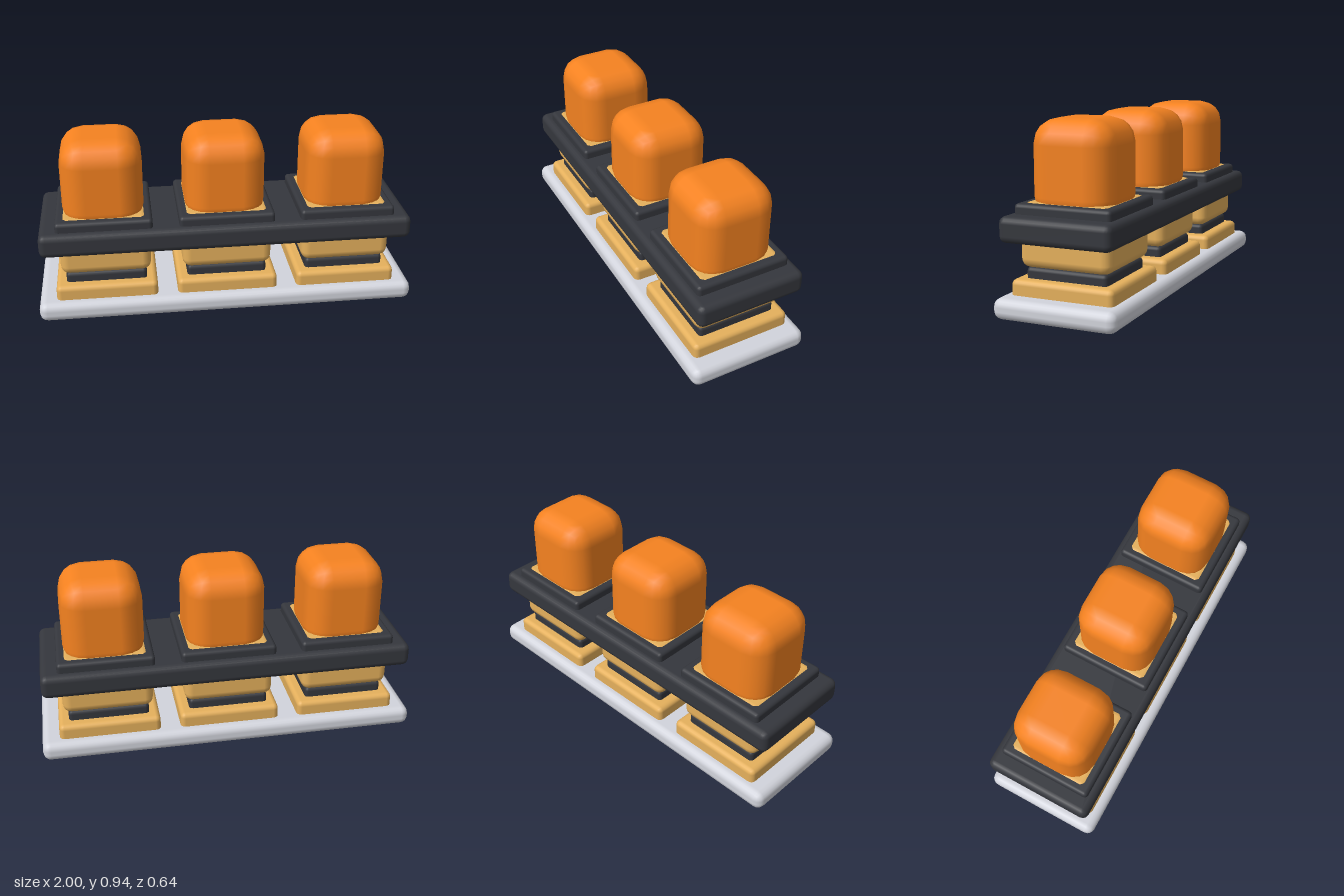
import * as THREE from 'three';
import { RoundedBoxGeometry } from 'three/addons/geometries/RoundedBoxGeometry.js';

const material = (color) => new THREE.MeshStandardMaterial({ color });

export function createModel() {
  const model = new THREE.Group();
  const silver = material(0xd2d4dc);
  const dark = material(0x35373d);
  const gold = material(0xe5b05c);
  const orange = material(0xf58220);

  // Rounded block spanning bottom..top, centred on x = z = 0 of its parent
  const block = (parent, name, width, depth, bottom, top, radius, mat) => {
    const mesh = new THREE.Mesh(new RoundedBoxGeometry(width, top - bottom, depth, 2, radius), mat);
    mesh.name = name;
    mesh.position.y = (bottom + top) / 2;
    parent.add(mesh);
  };

  // Long shared plates
  block(model, 'basePlate', 2, 0.637, 0, 0.104, 0.042, silver);
  block(model, 'mountingPlate', 1.955, 0.58, 0.364, 0.491, 0.034, dark);

  // Three identical key switches
  [-0.64, 0, 0.64].forEach((x, i) => {
    const key = new THREE.Group();
    key.name = `keySwitch${i + 1}`;
    key.position.x = x;
    block(key, 'foot', 0.534, 0.534, 0.07, 0.18, 0.027, gold);
    block(key, 'neck', 0.424, 0.424, 0.15, 0.233, 0.02, dark);
    block(key, 'housing', 0.474, 0.474, 0.232, 0.545, 0.045, gold);
    block(key, 'collar', 0.502, 0.502, 0.46, 0.541, 0.02, dark);
    block(key, 'keycap', 0.424, 0.424, 0.44, 0.937, 0.125, orange);
    model.add(key);
  });

  return model;
}
